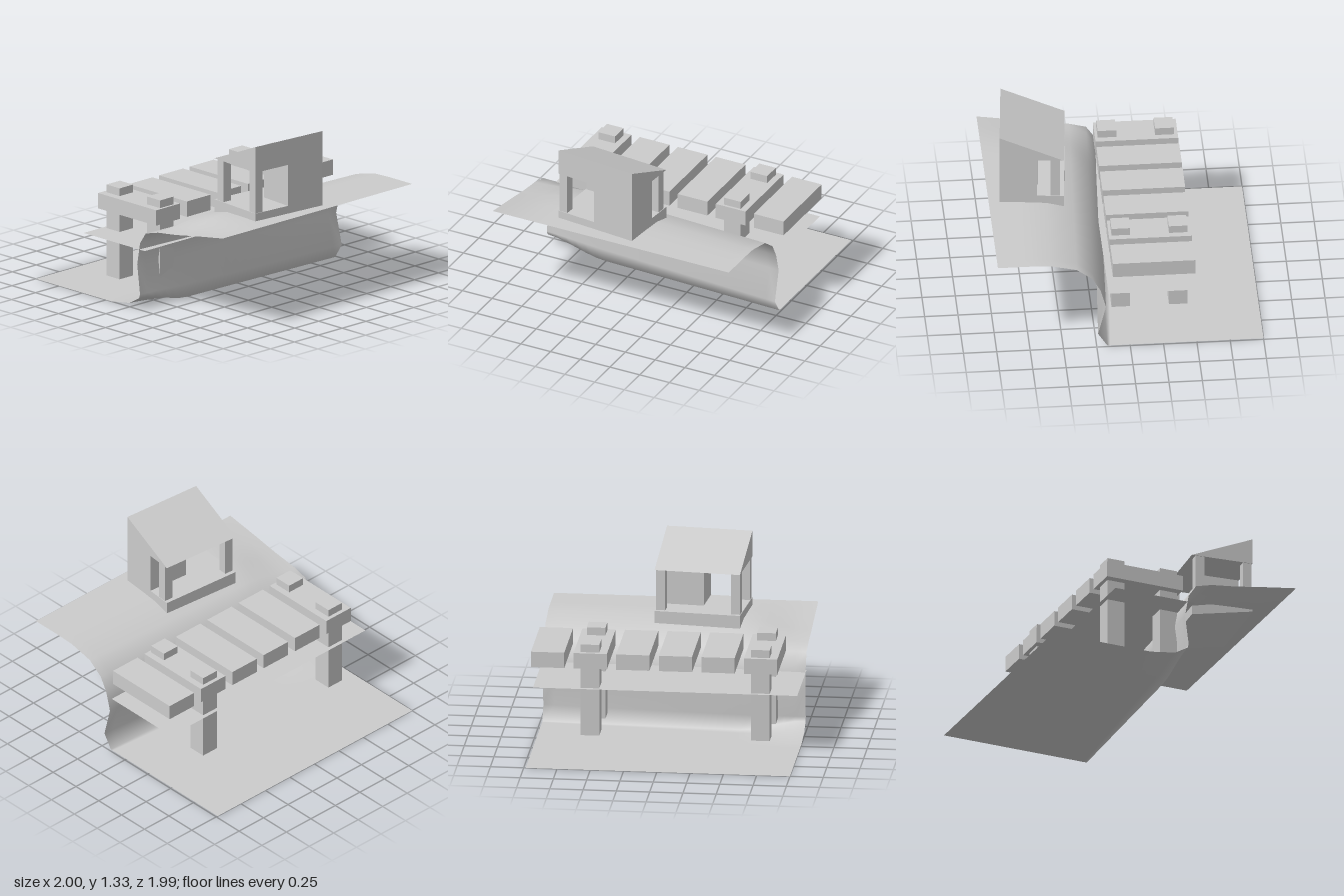
import * as THREE from 'three';

const grey = new THREE.MeshStandardMaterial({ color: 0xcccccc });
const sheet = new THREE.MeshStandardMaterial({ color: 0xcccccc, side: THREE.DoubleSide });

function add(parent, name, geometry, material = grey) {
  const mesh = new THREE.Mesh(geometry, material);
  mesh.name = name;
  parent.add(mesh);
  return mesh;
}

// Box given by its lower and upper limits on each axis
function box(parent, name, [x0, x1], [y0, y1], [z0, z1]) {
  const mesh = add(parent, name, new THREE.BoxGeometry(x1 - x0, y1 - y0, z1 - z0));
  mesh.position.set((x0 + x1) / 2, (y0 + y1) / 2, (z0 + z1) / 2);
  return mesh;
}

// Prism with a (z, y) outline, running along x and centred on it
function prism(outline, width) {
  const shape = new THREE.Shape(outline.map(([z, y]) => new THREE.Vector2(z, y)));
  return new THREE.ExtrudeGeometry(shape, { depth: width, bevelEnabled: false })
    .translate(0, 0, -width / 2)
    .rotateY(-Math.PI / 2);
}

// Seabed, cliff and upper ground: one sheet blended between two end profiles
function terrain() {
  const left = [[-1, 0], [-0.3, 0], [-0.2, 0], [0, 0.03], [0.1, 0.09], [0.11, 0.12], [0.08, 0.35],
    [0.11, 0.52], [0.17, 0.61], [0.3, 0.645], [0.5, 0.67], [0.7, 0.705], [0.99, 0.75]];
  const right = [[-1, 0], [-0.2, 0], [0.05, 0], [0.15, 0], [0.17, 0], [0.24, 0.11], [0.18, 0.35],
    [0.22, 0.5], [0.28, 0.61], [0.4, 0.7], [0.6, 0.745], [0.75, 0.75], [0.99, 0.75]];
  const columns = 24, rows = left.length;
  const positions = [], indices = [];
  for (let i = 0; i <= columns; i++) {
    const t = i / columns;
    const rise = THREE.MathUtils.smoothstep(t, 0, 0.25); // the dip at one end fades quickly
    for (let j = 0; j < rows; j++) {
      const z = THREE.MathUtils.lerp(left[j][0], right[j][0], t);
      const y = THREE.MathUtils.lerp(left[j][1], right[j][1], rise);
      positions.push(-1 + 1.985 * t, y, z);
      if (i < columns && j < rows - 1) {
        const a = i * rows + j, b = a + rows;
        indices.push(a, a + 1, b, b, a + 1, b + 1);
      }
    }
  }
  const geometry = new THREE.BufferGeometry();
  geometry.setAttribute('position', new THREE.Float32BufferAttribute(positions, 3));
  geometry.setIndex(indices);
  geometry.computeVertexNormals();
  return geometry;
}

// Pier: six planks on four posts that stand proud of the deck
function pier() {
  const group = new THREE.Group();
  group.name = 'pier';
  for (let i = 0; i < 6; i++) {
    const x = -0.85 + i * 0.32;
    box(group, 'plank', [x, x + 0.25], [0.63, 0.75], [-0.49, 0.13]);
  }
  for (const x of [-0.72, 0.56]) {
    for (const z of [-0.39, 0.04]) {
      box(group, 'pierPost', [x - 0.07, x + 0.07], [0.1, 0.81], [z - 0.07, z + 0.07]);
    }
  }
  return group;
}

// Hut: base, corner room, three posts and a lean-to roof, turned slightly
function hut() {
  const group = new THREE.Group();
  group.name = 'hut';
  const w = 0.65, d = 0.24;
  add(group, 'base', prism([[d, 0.735], [d, 0.81], [-d, 0.81], [-d, 0.64]], w));
  box(group, 'room', [-0.01, w / 2], [0.81, 1.13], [-0.04, d]);
  for (const [x, z] of [[-0.285, 0.2], [-0.285, -0.175], [0.285, -0.175]]) {
    box(group, 'hutPost', [x - 0.035, x + 0.035], [0.81, 1.13], [z - 0.035, z + 0.035]);
  }
  add(group, 'roof', prism([[-d, 1.13], [d, 1.13], [d, 1.33]], w));
  group.position.set(-0.175, 0, 0.64);
  group.rotation.y = -0.09;
  return group;
}

export function createModel() {
  const model = new THREE.Group();
  model.name = 'harbour';
  add(model, 'terrain', terrain(), sheet);

  // Water surface between the cliff and the back of the pier
  const water = add(model, 'water', new THREE.PlaneGeometry(1.985, 0.65).rotateX(-Math.PI / 2), sheet);
  water.position.set(-0.0075, 0.47, -0.165);

  model.add(pier(), hut());
  return model;
}
